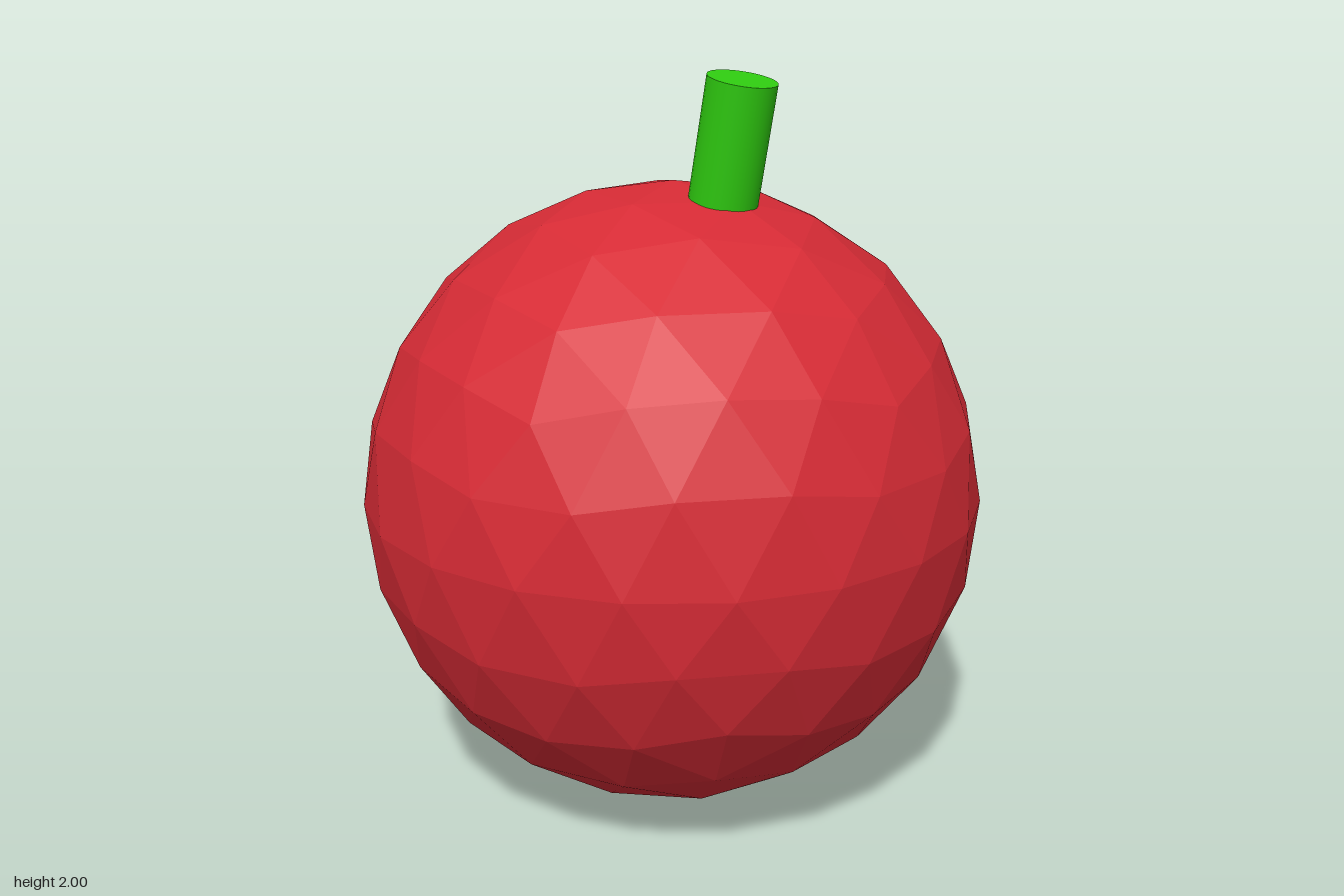
import * as THREE from 'three';

const RADIUS = 0.845, HALF_HEIGHT = 0.854;

// Faceted ball: an icosahedron standing on a corner, each edge halved twice
function facetedBall() {
  const h = 1 / Math.sqrt(5), r = 2 * h;
  const points = [0, 1, 0, 0, -1, 0];
  const faces = [];
  for (let k = 0; k < 5; k++) {
    const a = k * Math.PI * 0.4, b = a + Math.PI * 0.2;
    points.push(r * Math.cos(a), h, r * Math.sin(a), r * Math.cos(b), -h, r * Math.sin(b));
    const up = 2 + 2 * k, low = up + 1;
    const nextUp = 2 + 2 * ((k + 1) % 5), nextLow = nextUp + 1;
    faces.push(0, nextUp, up, up, nextUp, low, low, nextUp, nextLow, 1, low, nextLow);
  }
  let geometry = new THREE.PolyhedronGeometry(points, faces, 1, 1);
  const corners = Array.from(geometry.attributes.position.array);
  geometry = new THREE.PolyhedronGeometry(corners, corners.slice(0, corners.length / 3).map((_, i) => i), 1, 1);
  geometry.scale(RADIUS, HALF_HEIGHT, RADIUS);
  geometry.computeVertexNormals();
  return geometry;
}

export function createModel() {
  const model = new THREE.Group();
  model.name = 'cherry';

  // Fruit
  const fruit = new THREE.Mesh(
    facetedBall(),
    new THREE.MeshStandardMaterial({ color: 0xd62b35, flatShading: true })
  );
  fruit.name = 'fruit';
  fruit.position.y = HALF_HEIGHT;
  model.add(fruit);

  // Stem, leaning towards +x with its foot sunk into the fruit
  const tilt = 0.195, length = 0.44;
  const stem = new THREE.Mesh(
    new THREE.CylinderGeometry(0.091, 0.091, length, 32),
    new THREE.MeshStandardMaterial({ color: 0x2fcc10 })
  );
  stem.name = 'stem';
  stem.rotation.z = -tilt;
  stem.position.set(
    0.243 - Math.sin(tilt) * length / 2,
    1.982 - Math.cos(tilt) * length / 2,
    0
  );
  model.add(stem);

  return model;
}
